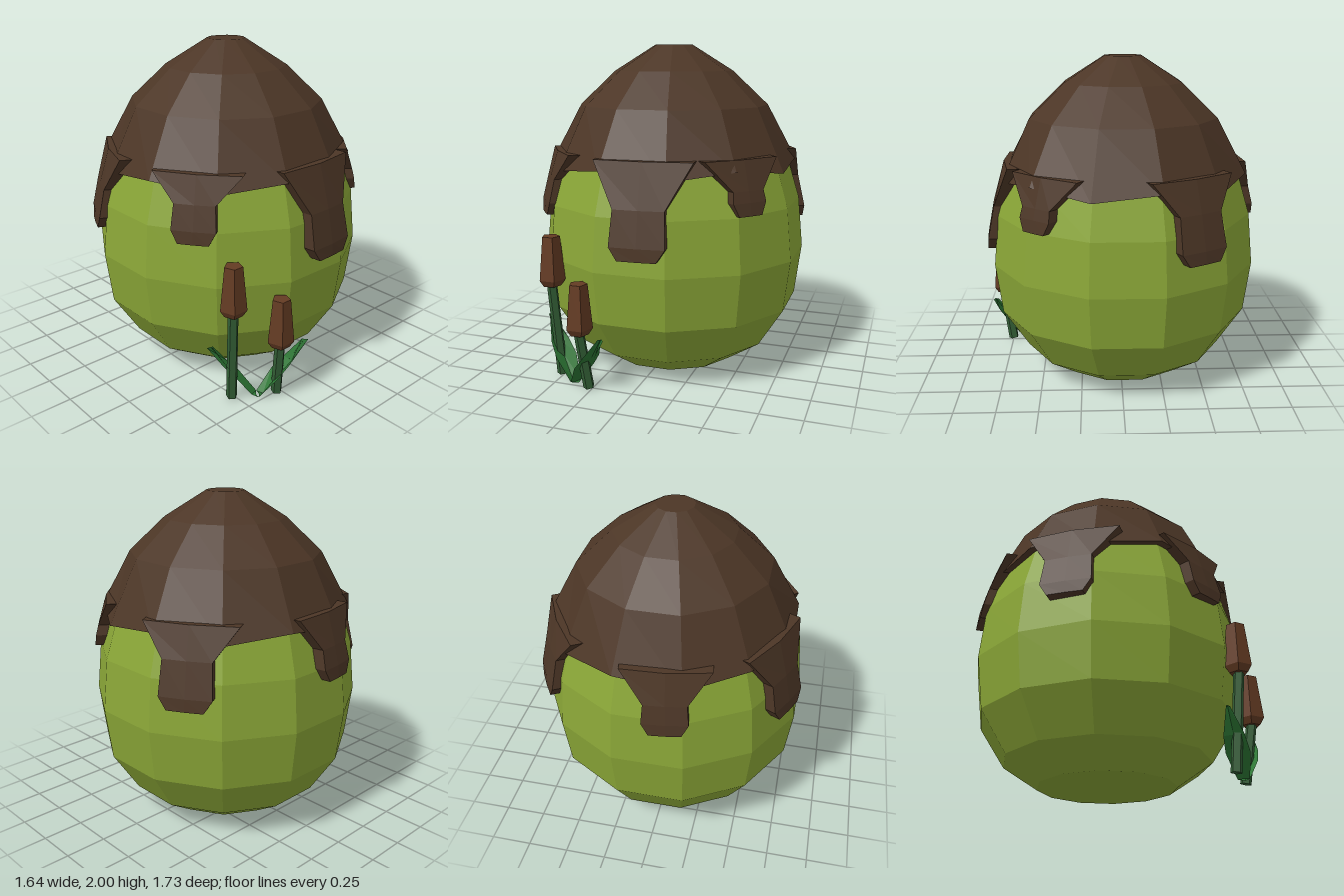
import * as THREE from 'three';

const paint = (name, color) => Object.assign(new THREE.MeshStandardMaterial({ color }), { name });

// Faceted normals for the low-poly look
function faceted(geo) {
  const g = geo.index ? geo.toNonIndexed() : geo;
  g.computeVertexNormals();
  return g;
}

// Closed solid through rings of points, bottom to top, each turning from +z towards +x
function loft(rings) {
  const n = rings[0].length;
  const index = [];
  for (let r = 0; r < rings.length - 1; r++) {
    for (let i = 0; i < n; i++) {
      const a = r * n + i, b = r * n + (i + 1) % n;
      index.push(a, b, a + n, b, b + n, a + n);
    }
  }
  const top = (rings.length - 1) * n;
  for (let i = 1; i < n - 1; i++) {
    index.push(0, i + 1, i, top, top + i, top + i + 1);
  }
  const g = new THREE.BufferGeometry();
  g.setAttribute('position', new THREE.Float32BufferAttribute(rings.flat(2), 3));
  g.setIndex(index);
  return faceted(g);
}

// Twelve-sided turned body; radii are measured to the middle of the flat sides
function turned(profile) {
  const pts = profile.map(([r, y]) => new THREE.Vector2(r / Math.cos(Math.PI / 12), y));
  return new THREE.LatheGeometry(pts, 12, Math.PI / 12);
}

// Thick drip hanging against the body, facing +z
function dripGeometry(bottom, neckY, neck, flare) {
  const rows = [
    [bottom, neck * 0.75, 0.008], [bottom + 0.075, neck * 1.08, 0],
    [neckY, neck, 0], [1.36, flare, 0],
  ];
  return loft(rows.map(([y, w, inset]) => {
    const d = 1.36 - y;
    const out = 0.75 + 0.33 * d - 0.18 * d * d - inset;
    const edge = out - 0.25 * w * w / out;
    const t = 0.075;
    return [[-w, y, edge], [0, y, out], [w, y, edge], [w, y, edge - t], [0, y, out - t], [-w, y, edge - t]];
  }));
}

// Folded leaf leaning along the plan direction (dx, dz)
function leafGeometry(base, dx, dz) {
  const rows = [[0, 0, 0.035], [0.1, 0.13, 0.07], [0.17, 0.21, 0.06], [0.265, 0.345, 0.012]];
  return loft(rows.map(([out, y, w]) => {
    const at = (across, along) => [
      base[0] + dx * (out + along) - dz * across, y, base[1] + dz * (out + along) + dx * across,
    ];
    return [at(-w, 0), at(0, 0.01), at(w, 0), at(0, 0.035)].reverse();
  }));
}

export function createModel() {
  const model = new THREE.Group();
  const green = paint('shell green', 0x8aa637);
  const brown = paint('dark brown', 0x4c3626);
  const bud = paint('bud brown', 0x643b23);
  const stemGreen = paint('stem green', 0x335f36);
  const leafGreen = paint('leaf green', 0x2c7634);
  const add = (parent, name, geo, mat) => {
    const mesh = new THREE.Mesh(geo, mat);
    mesh.name = name;
    parent.add(mesh);
    return mesh;
  };

  // Egg body and its coating share one axis, slightly behind the centre
  const egg = new THREE.Group();
  egg.name = 'egg';
  egg.position.z = -0.02;
  model.add(egg);
  add(egg, 'body', faceted(turned([
    [0, 0.01], [0.41, 0.01], [0.615, 0.15], [0.77, 0.4], [0.81, 0.72], [0.78, 1.04], [0.7, 1.31], [0.5, 1.5],
  ])), green);

  // Coating with a zigzag lower rim
  const coat = turned([[0.68, 1.25], [0.75, 1.25], [0.575, 1.63], [0.36, 1.84], [0.113, 2], [0, 2]]);
  const p = coat.attributes.position;
  for (let i = 0; i < p.count; i++) {
    if (p.getY(i) < 1.3 && Math.floor(i / 6) % 2) p.setY(i, 1.295);
  }
  add(egg, 'coating', faceted(coat), brown);

  // Drips: angle, bottom, neck height, neck half width, top half width
  [
    [4.5, 0.82, 1.1, 0.15, 0.29], [50, 1.05, 1.19, 0.105, 0.25], [121, 0.89, 1.17, 0.145, 0.28],
    [188, 0.98, 1.17, 0.125, 0.26], [245, 0.89, 1.14, 0.14, 0.28], [306, 0.98, 1.2, 0.12, 0.26],
  ].forEach(([deg, ...size]) => {
    add(egg, 'drip', dripGeometry(...size), brown).rotation.y = THREE.MathUtils.degToRad(deg);
  });

  // Two bud flowers: foot and head base
  [
    [[-0.515, 0.01, 0.615], [-0.545, 0.575, 0.66]],
    [[-0.275, 0.01, 0.75], [-0.305, 0.345, 0.8]],
  ].forEach(([foot, head]) => {
    const flower = new THREE.Group();
    flower.name = 'flower';
    model.add(flower);
    const a = new THREE.Vector3(...foot), b = new THREE.Vector3(...head);
    const dir = b.clone().sub(a);
    const stem = add(flower, 'stem', faceted(new THREE.CylinderGeometry(0.032, 0.034, dir.length() + 0.02, 5)), stemGreen);
    stem.position.copy(a).add(b).multiplyScalar(0.5);
    stem.quaternion.setFromUnitVectors(new THREE.Vector3(0, 1, 0), dir.normalize());
    const budGeo = new THREE.LatheGeometry(
      [[0, 0], [0.055, 0], [0.081, 0.04], [0.055, 0.305], [0, 0.305]].map(([x, y]) => new THREE.Vector2(x, y)),
      5, Math.PI);
    add(flower, 'bud', faceted(budGeo), bud).position.copy(b);
  });

  // Pair of leaves between the flowers
  for (const s of [1, -1]) {
    add(model, 'leaf', leafGeometry([-0.385, 0.7], 0.85 * s, 0.53 * s), leafGreen);
  }
  return model;
}
